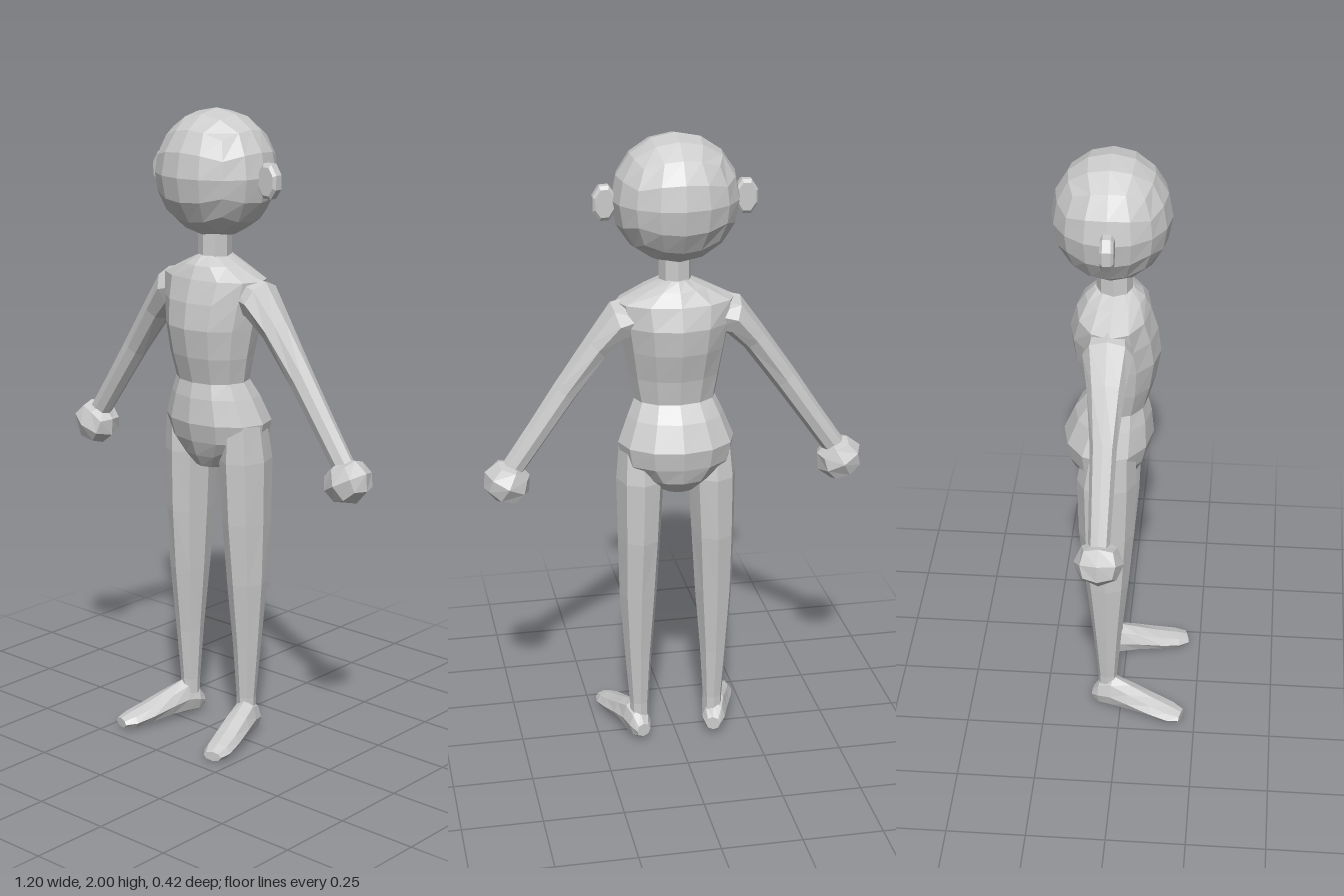
import * as THREE from 'three';

const V3 = (x, y, z) => new THREE.Vector3(x, y, z);
const material = new THREE.MeshStandardMaterial({ color: 0xcccccc, flatShading: true });

// Oval ring of n points around c, spanned by half axes u and v (u x v points along the loft)
function ring(c, u, v, n) {
  return Array.from({ length: n }, (_, i) => {
    const a = (i / n) * Math.PI * 2;
    return c.clone().addScaledVector(u, Math.cos(a)).addScaledVector(v, Math.sin(a));
  });
}

// Level ring: height, x centre, half width, front z, back z
const levelRing = (n) => ([y, x, rx, front, back]) =>
  ring(V3(x, y, (front + back) / 2), V3(0, 0, (front - back) / 2), V3(rx, 0, 0), n);

// Skin through the rings, closed at both ends
function loft(rings) {
  const n = rings[0].length, pos = [];
  const tri = (...pts) => pts.forEach((p) => pos.push(p.x, p.y, p.z));
  const middle = (r) => r.reduce((s, p) => s.add(p), V3(0, 0, 0)).divideScalar(n);
  const first = rings[0], last = rings[rings.length - 1];
  const c0 = middle(first), c1 = middle(last);
  for (let j = 0; j < n; j++) {
    const k = (j + 1) % n;
    for (let i = 0; i < rings.length - 1; i++) {
      const a = rings[i], b = rings[i + 1];
      tri(a[j], a[k], b[k]);
      tri(a[j], b[k], b[j]);
    }
    tri(c0, first[k], first[j]);
    tri(c1, last[j], last[k]);
  }
  const g = new THREE.BufferGeometry();
  g.setAttribute('position', new THREE.Float32BufferAttribute(pos, 3));
  g.computeVertexNormals();
  return g;
}

// Subdivided cube rounded into an ellipsoid of quads
function quadBall(rx, ry, rz, seg) {
  const g = new THREE.BoxGeometry(2, 2, 2, seg, seg, seg).toNonIndexed();
  const p = g.attributes.position, v = V3(0, 0, 0);
  const spread = (t) => Math.tan(t * Math.PI / 4);
  for (let i = 0; i < p.count; i++) {
    v.fromBufferAttribute(p, i);
    v.set(spread(v.x), spread(v.y), spread(v.z)).normalize();
    p.setXYZ(i, v.x * rx, v.y * ry, v.z * rz);
  }
  g.computeVertexNormals();
  return g;
}

// Mirror across x, turning each triangle round again
function mirrored(geometry) {
  const g = geometry.clone(), p = g.attributes.position;
  const a = V3(0, 0, 0), b = V3(0, 0, 0);
  for (let i = 0; i < p.count; i += 3) {
    a.fromBufferAttribute(p, i + 1);
    b.fromBufferAttribute(p, i + 2);
    p.setX(i, -p.getX(i));
    p.setXYZ(i + 1, -b.x, b.y, b.z);
    p.setXYZ(i + 2, -a.x, a.y, a.z);
  }
  g.computeVertexNormals();
  return g;
}

export function createModel() {
  const model = new THREE.Group();
  model.name = 'figure';
  const add = (name, geometry) => {
    const mesh = new THREE.Mesh(geometry, material);
    mesh.name = name;
    model.add(mesh);
  };
  const addPair = (name, geometry) => {
    add('left' + name, geometry);
    add('right' + name, mirrored(geometry));
  };

  // Head and neck
  add('head', quadBall(0.195, 0.196, 0.178, 4).translate(0, 1.804, -0.033));
  add('neck', loft([[1.5, 0, 0.05, 0.028, -0.08], [1.66, 0, 0.05, 0.028, -0.08]].map(levelRing(8))));

  // Chest, rounded to the front and back, sloping up to the neck
  add('chest', loft([
    [1.16, 0, 0.125, 0.075, -0.11],
    [1.25, 0, 0.143, 0.1, -0.125],
    [1.34, 0, 0.158, 0.115, -0.15],
    [1.42, 0, 0.172, 0.105, -0.16],
    [1.49, 0, 0.185, 0.083, -0.14],
    [1.53, 0, 0.1, 0.066, -0.115],
    [1.557, 0, 0.04, 0.035, -0.088],
  ].map(levelRing(12))));

  // Hips and seat, narrowing to the crotch
  add('hips', loft([
    [0.89, 0, 0.065, 0.035, -0.125],
    [0.93, 0, 0.115, 0.06, -0.16],
    [0.98, 0, 0.17, 0.08, -0.175],
    [1.04, 0, 0.182, 0.095, -0.185],
    [1.12, 0, 0.15, 0.088, -0.15],
    [1.175, 0, 0.125, 0.075, -0.11],
  ].map(levelRing(12))));

  // Legs
  addPair('Leg', loft([
    [0.08, 0.121, 0.031, -0.012, -0.075],
    [0.13, 0.121, 0.031, -0.012, -0.075],
    [0.3, 0.123, 0.043, 0.002, -0.09],
    [0.52, 0.122, 0.06, 0.025, -0.113],
    [0.72, 0.118, 0.068, 0.042, -0.133],
    [0.92, 0.114, 0.075, 0.05, -0.137],
    [1.04, 0.115, 0.062, 0.045, -0.115],
  ].map(levelRing(8))));

  // Feet, turned outward: distance from heel, half width, bottom, top
  const toe = V3(0.27, 0, 0.963), across = V3(0.963, 0, -0.27);
  addPair('Foot', loft([
    [0, 0.024, 0.02, 0.065],
    [0.025, 0.037, 0.005, 0.105],
    [0.07, 0.041, 0.005, 0.123],
    [0.13, 0.045, 0.01, 0.1],
    [0.21, 0.047, 0.005, 0.07],
    [0.27, 0.044, 0, 0.052],
    [0.307, 0.03, 0.008, 0.038],
  ].map(([d, w, low, high]) => ring(
    V3(0.115, (low + high) / 2, -0.09).addScaledVector(toe, d),
    across.clone().multiplyScalar(w), V3(0, (high - low) / 2, 0), 8))));

  // Arms, from the sloping shoulder to the wrist: outer x and y, inner x and y, half depth
  addPair('Arm', loft([
    [0.1, 1.515, 0.1, 1.38, 0.06],
    [0.2, 1.49, 0.16, 1.37, 0.075],
    [0.275, 1.385, 0.215, 1.32, 0.057],
    [0.375, 1.24, 0.315, 1.185, 0.04],
    [0.46, 1.11, 0.405, 1.06, 0.036],
    [0.545, 0.985, 0.49, 0.94, 0.032],
  ].map(([xo, yo, xi, yi, depth]) => ring(
    V3((xo + xi) / 2, (yo + yi) / 2, -0.033),
    V3((xo - xi) / 2, (yo - yi) / 2, 0), V3(0, 0, depth), 8))));

  // Ball hands
  addPair('Hand', quadBall(0.077, 0.07, 0.075, 2).rotateZ(0.5).translate(0.528, 0.93, -0.032));

  // Thin upright ears with bevelled rims
  addPair('Ear', loft([[-0.05, 0.8], [-0.042, 1], [-0.018, 1], [-0.01, 0.8]].map(([z, s]) =>
    ring(V3(0.215, 1.798, z), V3(0.035 * s, 0.02 * s, 0), V3(-0.014 * s, 0.053 * s, 0), 8))));

  return model;
}
